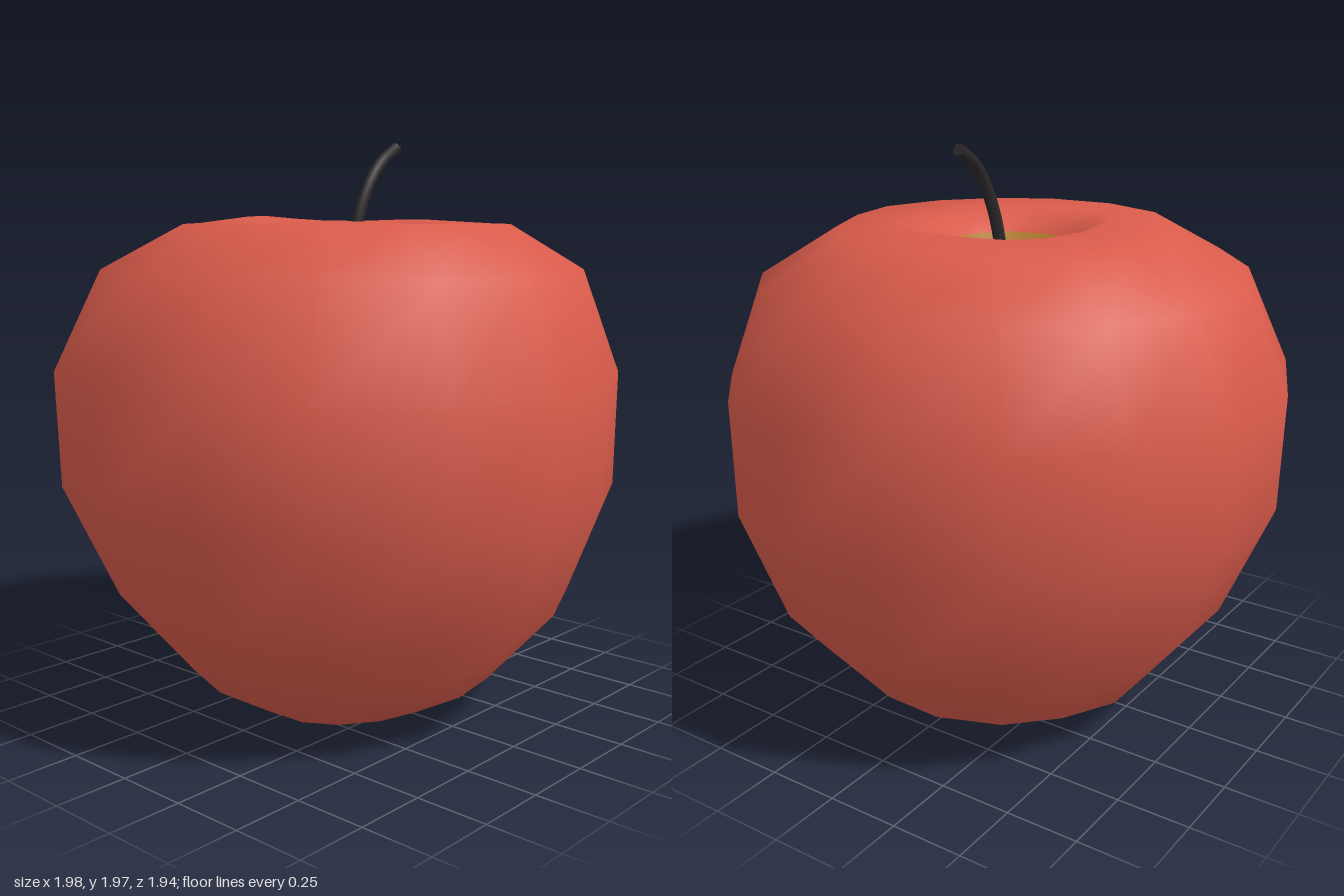
import * as THREE from 'three';

const skin = new THREE.MeshStandardMaterial({ color: 0xd95b4b });
skin.name = 'red skin';
const hollow = new THREE.MeshStandardMaterial({ color: 0xae7b2e });
hollow.name = 'ochre hollow';
const wood = new THREE.MeshStandardMaterial({ color: 0x2c2829 });
wood.name = 'dark wood';

const SIDES = 16;
// Bearing (degrees) and relative radius of each of the sixteen facets
const bearings = [10, 31, 51, 75, 97, 120, 143.5, 164, 187, 211.5, 236.5, 263, 286, 306.5, 327, 349];
const girth = [0.995, 0.99, 0.96, 0.94, 0.98, 0.98, 0.99, 1, 1.005, 0.995, 0.96, 0.985, 1.015, 1.005, 1.02, 1.015];

// Rings from the base hollow, round the outside, into the top hollow:
// radius, height, shift in x, forward sag
const rings = [
  [0.015, 0.11, 0.01, 0], [0.08, 0.1, 0.01, 0], [0.14, 0.075, 0.01, 0], [0.22, 0.045, 0.02, 0],
  [0.36, 0.022, 0.03, 0.012], [0.57, 0.135, 0.03, 0], [0.82, 0.42, 0.025, 0.025], [0.985, 0.81, 0.005, 0.025],
  [0.995, 1.2, 0, 0.02], [0.85, 1.54, 0.02, 0.005], [0.58, 1.69, 0.03, 0], [0.36, 1.7, 0.02, 0.012],
  [0.28, 1.67, 0.02, 0], [0.215, 1.625, 0.02, 0], [0.12, 1.53, 0.02, 0], [0.015, 1.475, 0.02, 0],
];

function buildFruit() {
  const pos = [], index = [];
  rings.forEach(([r, y, shift, sag], j) => {
    for (let i = 0; i < SIDES; i++) {
      const a = THREE.MathUtils.degToRad(bearings[i]);
      // Soft lobes on the two rims
      const lobe = j === 4 ? -0.012 * Math.cos(2 * a) : j === 11 ? 0.008 * Math.sin(3 * a + 1) : 0;
      // Slightly ragged edge to the coloured hollows
      const rag = j === 2 || j === 13 ? 1 + 0.05 * Math.sin(i * 2.4) : 1;
      const rr = r * girth[i] * rag;
      pos.push(rr * Math.cos(a) + shift, y + lobe - sag * Math.sin(a), rr * Math.sin(a));
    }
  });
  for (let j = 0; j < rings.length - 1; j++) {
    for (let i = 0; i < SIDES; i++) {
      const a = j * SIDES + i, b = j * SIDES + (i + 1) % SIDES;
      index.push(a, a + SIDES, b, b, a + SIDES, b + SIDES);
    }
  }
  const g = new THREE.BufferGeometry();
  g.setAttribute('position', new THREE.Float32BufferAttribute(pos, 3));
  g.setIndex(index);
  g.computeVertexNormals();
  // Ochre bands in both hollows, red between
  const band = SIDES * 6;
  g.addGroup(0, 2 * band, 1);
  g.addGroup(2 * band, 11 * band, 0);
  g.addGroup(13 * band, 2 * band, 1);
  return g;
}

export function createModel() {
  const model = new THREE.Group();
  model.name = 'apple';
  const add = (name, geometry, material, parent = model) => {
    const mesh = new THREE.Mesh(geometry, material);
    mesh.name = name;
    parent.add(mesh);
    return mesh;
  };

  add('fruit', buildFruit(), [skin, hollow]);

  // Curved stem with a closed tip and a flared foot
  const path = new THREE.CatmullRomCurve3([
    [0.03, 1.46, 0], [0.035, 1.58, 0.01], [0.06, 1.72, 0.02], [0.11, 1.83, 0.025], [0.18, 1.905, 0.02], [0.26, 1.95, 0.012],
  ].map(p => new THREE.Vector3(...p)));
  add('stem', new THREE.TubeGeometry(path, 16, 0.021, 8), wood);
  const tip = add('stemTip', new THREE.CylinderGeometry(0.022, 0.021, 0.02, 8), wood);
  tip.position.copy(path.getPoint(1));
  tip.quaternion.setFromUnitVectors(new THREE.Vector3(0, 1, 0), path.getTangent(1));
  const foot = add('stemFoot', new THREE.CylinderGeometry(0.021, 0.058, 0.06, 8), wood);
  foot.position.set(0.03, 1.5, 0);

  // Dried blossom: a ring of small sepals in the base hollow
  const blossom = new THREE.Group();
  blossom.name = 'blossom';
  blossom.position.set(0.01, 0.1, 0);
  model.add(blossom);
  add('blossomCore', new THREE.CylinderGeometry(0.05, 0.04, 0.025, 10), wood, blossom);
  for (let i = 0; i < 8; i++) {
    const a = i / 8 * Math.PI * 2;
    const sepal = add('sepal', new THREE.ConeGeometry(0.018, 0.06, 5), wood, blossom);
    const out = new THREE.Vector3(Math.cos(a), -0.7, Math.sin(a)).normalize();
    sepal.position.set(Math.cos(a) * 0.048, -0.018, Math.sin(a) * 0.048);
    sepal.quaternion.setFromUnitVectors(new THREE.Vector3(0, 1, 0), out);
  }
  return model;
}
